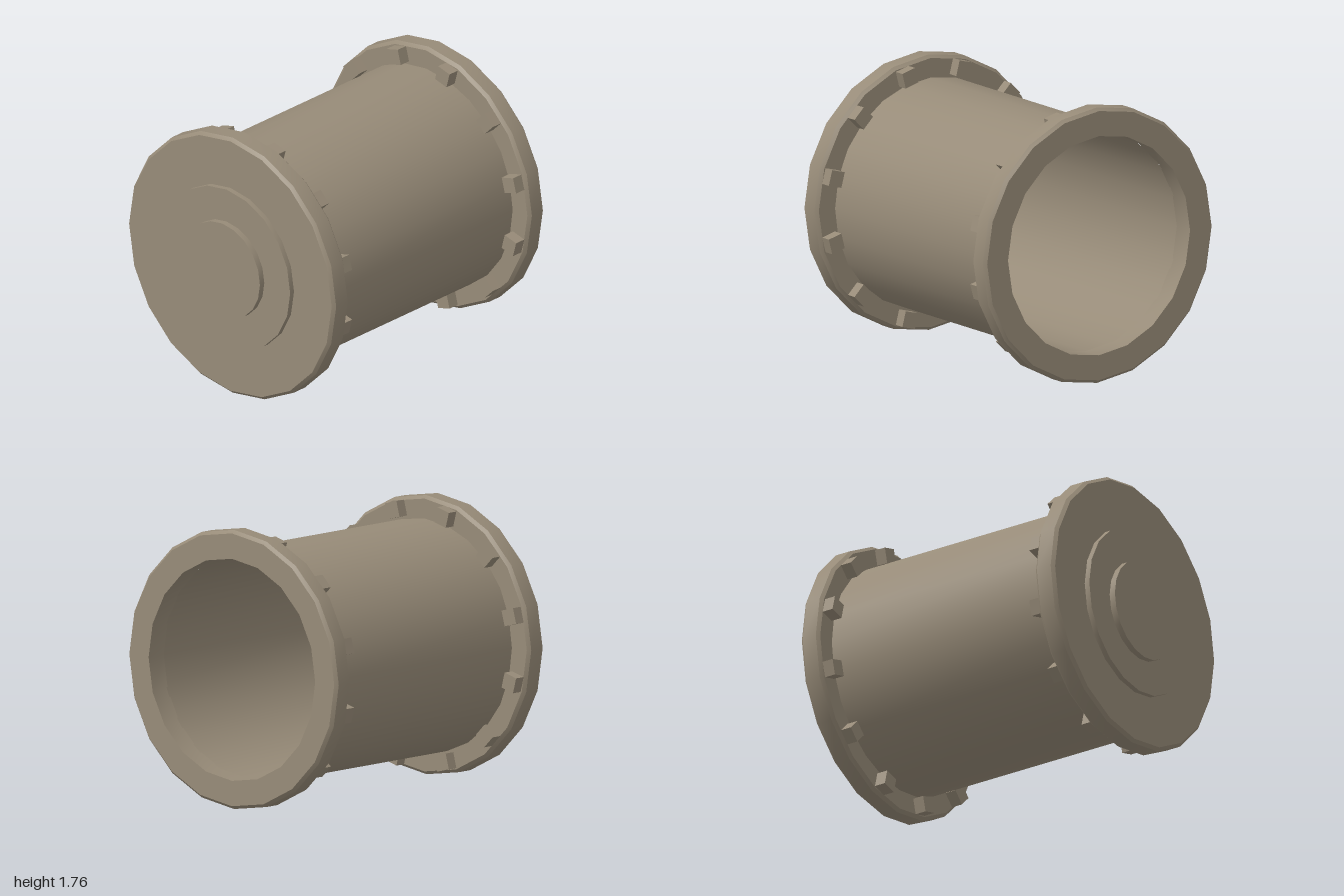
import * as THREE from 'three';
import { toCreasedNormals } from 'three/addons/utils/BufferGeometryUtils.js';

const CENTRE_Y = 0.88;

export function createModel() {
  const model = new THREE.Group();
  model.name = 'flangedDrum';
  const metal = new THREE.MeshStandardMaterial({ color: 0x978b78 });
  metal.name = 'dull bronze';

  // Turned part along z; profile points are [radius, z]
  function turned(name, profile, sides) {
    const lathe = new THREE.LatheGeometry(profile.map(([r, z]) => new THREE.Vector2(r, z)), sides);
    const geometry = toCreasedNormals(lathe, 0.5);
    geometry.rotateX(Math.PI / 2);
    geometry.translate(0, CENTRE_Y, 0);
    const mesh = new THREE.Mesh(geometry, metal);
    mesh.name = name;
    model.add(mesh);
  }

  // Bevelled rim from z0 to z1, starting and ending at the bore radius
  const rim = (bore, z0, z1) => [
    [bore, z0], [0.86, z0], [0.88, z0 + 0.02],
    [0.88, z1 - 0.02], [0.86, z1], [bore, z1],
  ];

  // Hollow barrel with an open back
  turned('barrel', [[0.735, -0.87], [0.735, 0.79], [0.7, 0.79], [0.7, -0.87]], 24);

  // Open rear flange and solid front lid
  turned('rearFlange', [...rim(0.7, -1, -0.86), [0.7, -1]], 20);
  turned('frontLid', rim(0, 0.78, 0.925), 20);

  // Stepped discs on the lid
  turned('lidDisc', [[0.54, 0.92], [0.54, 0.96], [0, 0.96]], 20);
  turned('lidBoss', [[0.32, 0.95], [0.32, 1], [0, 1]], 20);

  // Ring of bolt blocks on the inner face of each flange
  const block = new THREE.BoxGeometry(0.1, 0.1, 0.08);
  for (const [name, z] of [['frontBolts', 0.75], ['rearBolts', -0.825]]) {
    const ring = new THREE.Group();
    ring.name = name;
    ring.position.set(0, CENTRE_Y, z);
    for (let i = 0; i < 12; i++) {
      const angle = ((i + 0.5) * Math.PI) / 6;
      const bolt = new THREE.Mesh(block, metal);
      bolt.name = 'boltBlock';
      bolt.position.set(0.8 * Math.cos(angle), 0.8 * Math.sin(angle), 0);
      bolt.rotation.z = angle;
      ring.add(bolt);
    }
    model.add(ring);
  }
  return model;
}
